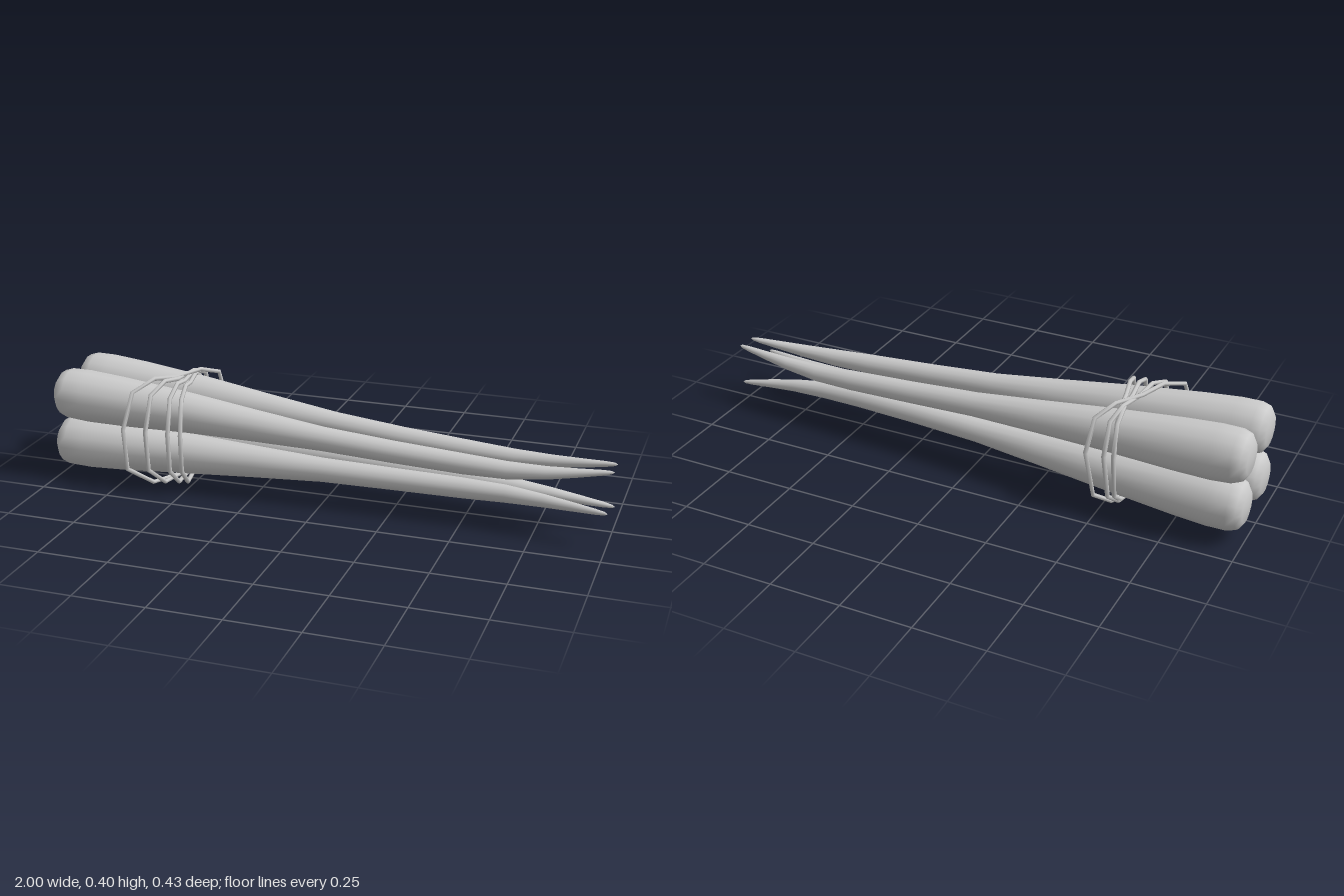
import * as THREE from 'three';
import { mergeVertices } from 'three/addons/utils/BufferGeometryUtils.js';

const material = new THREE.MeshStandardMaterial({ color: 0xcccccc });

// [x along the root, radius]
const PROFILE = [
  [-1, 0], [-0.997, 0.055], [-0.98, 0.08], [-0.95, 0.091], [-0.88, 0.094], [-0.75, 0.089], [-0.5, 0.073],
  [-0.25, 0.057], [0, 0.043], [0.25, 0.039], [0.5, 0.036], [0.65, 0.031], [0.78, 0.023],
  [0.88, 0.016], [0.96, 0.01], [0.99, 0.006], [1, 0],
];

// Piecewise linear lookup of a centre line given as [x, y, z] rows
function centreAt(path, x) {
  let i = 0;
  while (i < path.length - 2 && x > path[i + 1][0]) i++;
  const [a, b] = [path[i], path[i + 1]];
  const t = (x - a[0]) / (b[0] - a[0]);
  return [a[1] + (b[1] - a[1]) * t, a[2] + (b[2] - a[2]) * t];
}

// Tapered root: a lathe laid along x, then bent along its centre line
function makeRoot(name, path) {
  let geometry = new THREE.LatheGeometry(PROFILE.map(([x, r]) => new THREE.Vector2(r, x)), 14);
  geometry.rotateZ(-Math.PI / 2);
  const pos = geometry.attributes.position;
  for (let i = 0; i < pos.count; i++) {
    const [y, z] = centreAt(path, pos.getX(i));
    pos.setXYZ(i, pos.getX(i), pos.getY(i) + y, pos.getZ(i) + z);
  }
  geometry.deleteAttribute('uv');
  geometry.deleteAttribute('normal');
  geometry = mergeVertices(geometry, 1e-5);
  geometry.computeVertexNormals();
  const mesh = new THREE.Mesh(geometry, material);
  mesh.name = name;
  return mesh;
}

// Outline of the cord around the bundle, as [z, y]
const OUTLINE = [
  [0, 0.01], [-0.1, 0.012], [-0.17, 0.065], [-0.205, 0.24], [-0.175, 0.36], [-0.1, 0.388],
  [0, 0.383], [0.08, 0.397], [0.165, 0.368], [0.207, 0.24], [0.197, 0.09], [0.1, 0.01],
];

// Angular cord loop, slanted from xBack (z = -0.2) to xFront (z = 0.2)
function makeLoop(xBack, xFront, scale) {
  const points = OUTLINE.map(([z, y]) => new THREE.Vector3(
    xBack + (xFront - xBack) * (z + 0.2) / 0.4,
    0.2 + (y - 0.2) * scale,
    z * scale,
  ));
  const curve = new THREE.CatmullRomCurve3(points, true);
  // One ring per corner keeps the spans straight
  curve.getPointAt = curve.getPoint;
  curve.getTangentAt = curve.getTangent;
  const mesh = new THREE.Mesh(new THREE.TubeGeometry(curve, points.length, 0.008, 6, true), material);
  mesh.name = 'cordLoop';
  return mesh;
}

export function createModel() {
  const group = new THREE.Group();
  group.name = 'rootBundle';

  const roots = new THREE.Group();
  roots.name = 'roots';
  roots.add(
    makeRoot('upperFrontRoot', [
      [-1, 0.312, 0.083], [-0.5, 0.285, 0.08], [0, 0.245, 0.079], [0.4, 0.218, 0.079],
      [0.65, 0.209, 0.075], [0.8, 0.213, 0.064], [1, 0.23, 0.036],
    ]),
    makeRoot('upperBackRoot', [
      [-1, 0.312, -0.118], [-0.5, 0.285, -0.1], [0, 0.245, -0.077], [0.4, 0.215, -0.06],
      [0.65, 0.206, -0.054], [0.8, 0.212, -0.047], [1, 0.232, -0.035],
    ]),
    makeRoot('lowerFrontRoot', [
      [-1, 0.13, 0.083], [-0.5, 0.13, 0.08], [0, 0.13, 0.079], [0.5, 0.128, 0.08],
      [0.65, 0.128, 0.084], [0.8, 0.128, 0.106], [1, 0.128, 0.15],
    ]),
    makeRoot('lowerBackRoot', [
      [-1, 0.13, -0.118], [-0.5, 0.13, -0.09], [0, 0.13, -0.052], [0.4, 0.126, -0.022],
      [0.6, 0.121, -0.013], [0.8, 0.105, -0.018], [1, 0.079, -0.034],
    ]),
  );

  const cord = new THREE.Group();
  cord.name = 'cord';
  cord.add(
    makeLoop(-0.47, -0.69, 1),
    makeLoop(-0.53, -0.61, 0.97),
    makeLoop(-0.56, -0.53, 0.94),
    makeLoop(-0.56, -0.485, 0.92),
  );

  group.add(roots, cord);
  return group;
}
